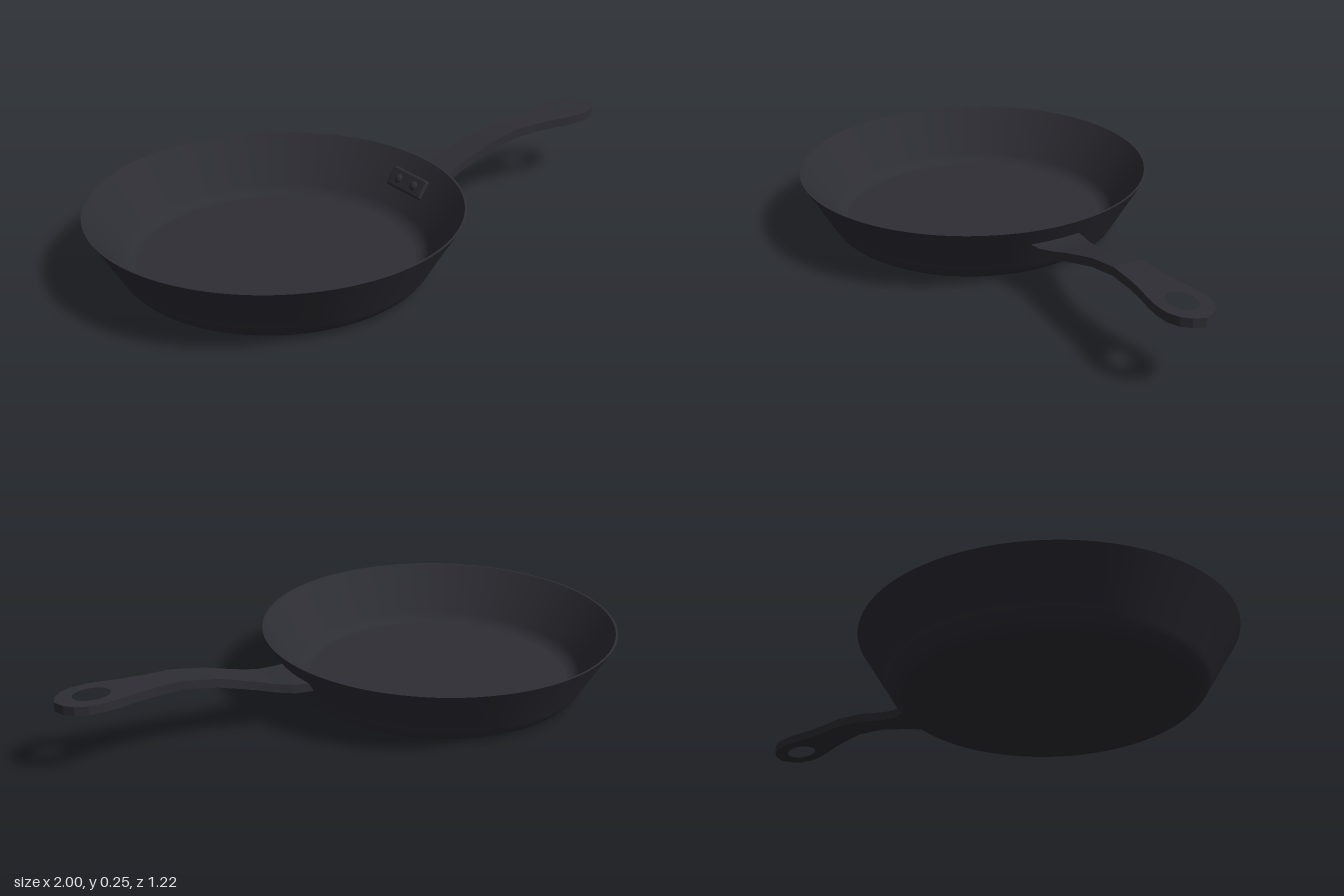
import * as THREE from 'three';
import { RoundedBoxGeometry } from 'three/addons/geometries/RoundedBoxGeometry.js';

const iron = new THREE.MeshStandardMaterial({ color: 0x2d2d34 });
iron.name = 'dark iron';

function part(name, geometry, parent) {
  const mesh = new THREE.Mesh(geometry, iron);
  mesh.name = name;
  parent.add(mesh);
  return mesh;
}

// Piecewise linear lookup in a list of [x, value] pairs
function lookup(table, x) {
  for (let i = 1; i < table.length; i++) {
    const [x0, v0] = table[i - 1], [x1, v1] = table[i];
    if (x <= x1) return THREE.MathUtils.mapLinear(x, x0, x1, v0, v1);
  }
  return table[table.length - 1][1];
}

// Handle centre height and half width along x
const HEIGHT = [[0.16, 0.14], [0.22, 0.143], [0.28, 0.153], [0.34, 0.17], [0.4, 0.187], [0.48, 0.21], [0.54, 0.22], [0.6, 0.23]];
const WIDTH = [[0.16, 0.092], [0.22, 0.086], [0.28, 0.069], [0.34, 0.057], [0.4, 0.053], [0.5, 0.051], [0.6, 0.051]];
const THICK = 0.03;

function buildPan() {
  const pan = new THREE.Group();
  pan.name = 'pan';
  pan.position.x = -0.39;
  const v = (r, y) => new THREE.Vector2(r, y);
  const outerBend = new THREE.QuadraticBezierCurve(v(0.435, 0), v(0.485, 0), v(0.513, 0.055)).getPoints(8);
  const innerBend = new THREE.QuadraticBezierCurve(v(0.495, 0.068), v(0.478, 0.04), v(0.45, 0.036)).getPoints(8);
  // Separate profiles keep the rim and the floor edge crisp
  const profiles = {
    outside: [v(0, 0), ...outerBend, v(0.61, 0.219)],
    rim: [v(0.61, 0.219), v(0.602, 0.219)],
    innerWall: [v(0.602, 0.219), ...innerBend],
    floor: [v(0.45, 0.036), v(0, 0.036)],
  };
  for (const [name, points] of Object.entries(profiles)) {
    part(name, new THREE.LatheGeometry(points, 96), pan);
  }
  return pan;
}

function buildHandle() {
  const handle = new THREE.Group();
  handle.name = 'handle';

  // Curved neck: a bar bent and tapered along x
  const neck = new THREE.BoxGeometry(0.44, THICK, 2, 22, 1, 2);
  neck.translate(0.38, 0, 0);
  const p = neck.attributes.position;
  for (let i = 0; i < p.count; i++) {
    const x = p.getX(i);
    p.setY(i, p.getY(i) + lookup(HEIGHT, x));
    p.setZ(i, p.getZ(i) * lookup(WIDTH, x));
  }
  neck.computeVertexNormals();
  part('handleNeck', neck, handle);

  // Flat end with the hanging hole
  const side = [[0.6, 0.051], [0.69, 0.055], [0.76, 0.063], [0.82, 0.075], [0.87, 0.081], [0.92, 0.079], [0.96, 0.062], [0.985, 0.036]];
  const outline = [...side, [1, 0], ...side.map(([x, z]) => [x, -z]).reverse()];
  const shape = new THREE.Shape(outline.map(([x, z]) => new THREE.Vector2(x, z)));
  const hole = new THREE.Path();
  hole.absellipse(0.88, 0, 0.061, 0.043, 0, Math.PI * 2, true);
  shape.holes.push(hole);
  const end = new THREE.ExtrudeGeometry(shape, { depth: THICK, bevelEnabled: false, curveSegments: 24 });
  end.rotateX(-Math.PI / 2);
  end.translate(0, 0.23 - THICK / 2, 0);
  part('handleEnd', end, handle);
  return handle;
}

// Riveted plate lying on the inner wall
function buildBracket() {
  const bracket = new THREE.Group();
  bracket.name = 'bracket';
  bracket.position.set(0.153, 0.142, 0);
  bracket.rotation.z = -0.58;
  part('bracketPlate', new RoundedBoxGeometry(0.024, 0.07, 0.18, 3, 0.009), bracket);
  for (const z of [-0.04, 0.04]) {
    const rivet = part('rivet', new THREE.SphereGeometry(0.016, 20, 12), bracket);
    rivet.scale.x = 0.6;
    rivet.position.set(-0.012, 0, z);
  }
  return bracket;
}

export function createModel() {
  const model = new THREE.Group();
  model.name = 'fryingPan';
  model.add(buildPan(), buildHandle(), buildBracket());
  return model;
}
